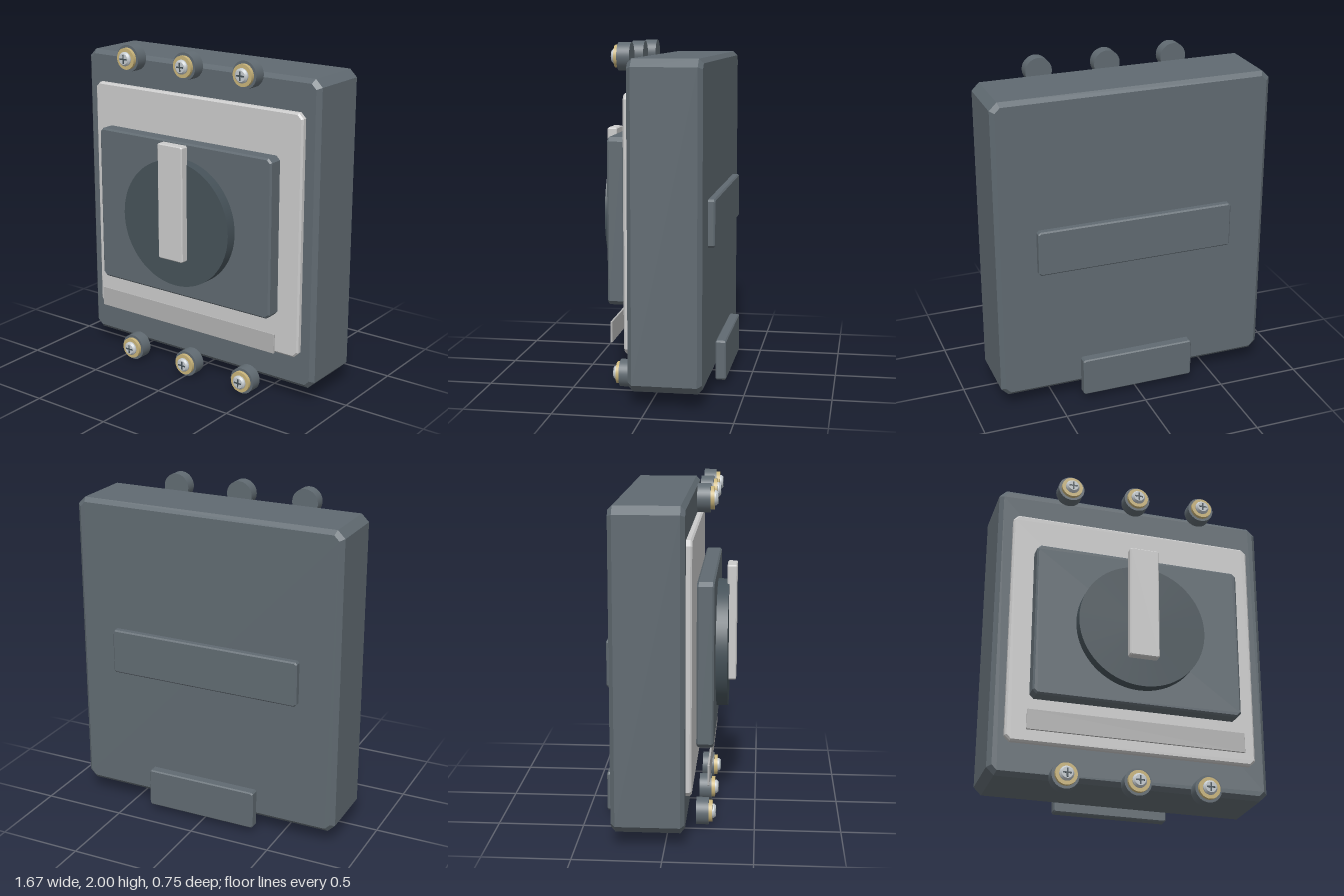
import * as THREE from 'three';

const paint = (color) => new THREE.MeshStandardMaterial({ color });
const CASE = paint(0x606a71);
const DARK = paint(0x465259);
const LIGHT = paint(0xcccccc);
const STRIP = paint(0xb2b2b2);
const BRASS = paint(0xc9b47a);
const STEEL = paint(0xc4cace);

// Chamfered slab filling x0..x1, y0..y1, z0..z1: cut corners plus a bevel on both faces
function slab(name, material, [x0, x1], [y0, y1], [z0, z1], corner, bevel) {
  const a = (x1 - x0) / 2 - bevel, b = (y1 - y0) / 2 - bevel, c = corner;
  const outline = new THREE.Shape([
    [-a + c, -b], [a - c, -b], [a, -b + c], [a, b - c],
    [a - c, b], [-a + c, b], [-a, b - c], [-a, -b + c],
  ].map(([x, y]) => new THREE.Vector2(x, y)));
  const geometry = new THREE.ExtrudeGeometry(outline, {
    depth: z1 - z0 - 2 * bevel, bevelEnabled: true,
    bevelThickness: bevel, bevelSize: bevel, bevelSegments: 1,
  });
  geometry.translate((x0 + x1) / 2, (y0 + y1) / 2, z0 + bevel);
  const mesh = new THREE.Mesh(geometry, material);
  mesh.name = name;
  return mesh;
}

// Disc facing +z between z0 and z1
function disc(name, material, radius, z0, z1, frontRadius = radius, sides = 40) {
  const geometry = new THREE.CylinderGeometry(frontRadius, radius, z1 - z0, sides);
  geometry.rotateX(Math.PI / 2).translate(0, 0, (z0 + z1) / 2);
  const mesh = new THREE.Mesh(geometry, material);
  mesh.name = name;
  return mesh;
}

// Terminal: post, brass washer and cross-head screw
function terminal(x, y) {
  const group = new THREE.Group();
  group.name = 'terminal';
  group.add(
    disc('terminalPost', CASE, 0.08, 0.159, 0.232),
    disc('terminalWasher', BRASS, 0.064, 0.232, 0.253),
    disc('screwShank', STEEL, 0.042, 0.253, 0.262),
    disc('screwHead', STEEL, 0.042, 0.262, 0.273, 0.032),
  );
  for (const [w, h] of [[0.052, 0.009], [0.009, 0.052]]) {
    const slot = new THREE.Mesh(new THREE.BoxGeometry(w, h, 0.006), DARK);
    slot.name = 'screwSlot';
    slot.position.z = 0.272;
    group.add(slot);
  }
  group.position.set(x, y, 0);
  return group;
}

export function createModel() {
  const model = new THREE.Group();
  model.name = 'circuitBreaker';

  // Housing and front layers
  model.add(
    slab('housing', CASE, [-0.835, 0.835], [0.085, 1.92], [-0.302, 0.113], 0.03, 0.025),
    slab('facePlate', LIGHT, [-0.75, 0.75], [0.28, 1.73], [0.1, 0.147], 0.025, 0.01),
    slab('switchPanel', CASE, [-0.625, 0.625], [0.53, 1.48], [0.166, 0.263], 0.018, 0.01),
    slab('labelStrip', STRIP, [-0.648, 0.648], [0.32, 0.44], [0.232, 0.243], 0.002, 0.001),
  );

  // Rotary dial with its lever
  const dial = disc('dial', DARK, 0.382, 0.262, 0.33, 0.382, 72);
  dial.position.y = 1.003;
  model.add(dial);
  model.add(slab('lever', LIGHT, [-0.089, 0.089], [0.79, 1.487], [0.318, 0.376], 0.005, 0.006));

  // Rear rail plate and lower clip
  model.add(
    slab('rearPlate', CASE, [-0.597, 0.597], [0.868, 1.14], [-0.342, -0.29], 0.008, 0.008),
    slab('railClip', CASE, [-0.348, 0.348], [0.04, 0.275], [-0.377, -0.315], 0.006, 0.007),
  );

  // Three terminals along the top and bottom edges
  for (const y of [0.08, 1.92]) {
    for (const x of [-0.418, 0, 0.418]) model.add(terminal(x, y));
  }
  return model;
}
